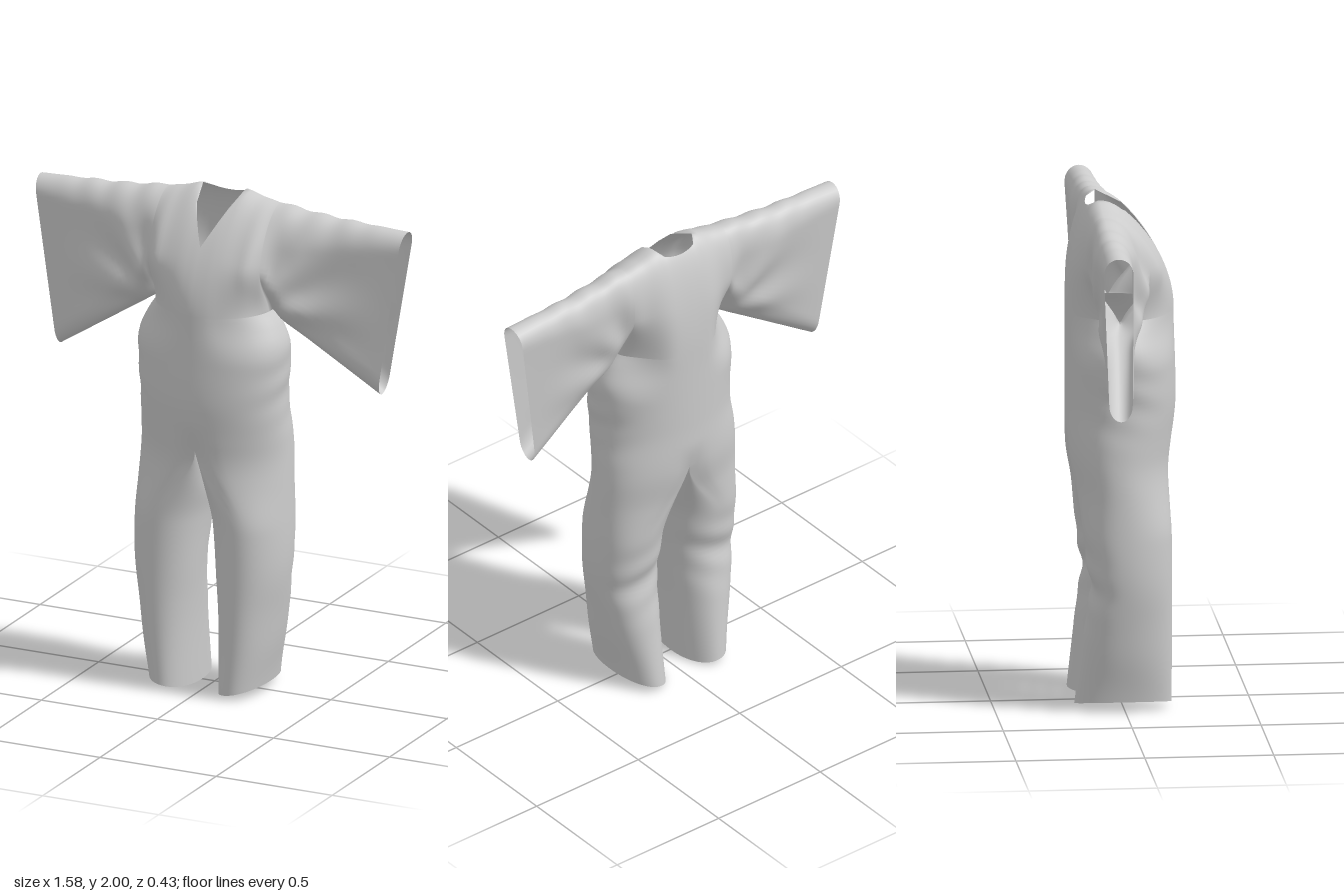
import * as THREE from 'three';
import { mergeGeometries, mergeVertices } from 'three/addons/utils/BufferGeometryUtils.js';

const { lerp, smoothstep } = THREE.MathUtils;
const spow = (v, p) => Math.sign(v) * Math.pow(Math.abs(v), p);

// Smooth curve through [t, value] points with rising t
function curve(pts) {
  const slope = (i) => {
    const a = pts[Math.max(i - 1, 0)], b = pts[Math.min(i + 1, pts.length - 1)];
    return (b[1] - a[1]) / (b[0] - a[0]);
  };
  return (t) => {
    let i = 0;
    while (i < pts.length - 2 && t > pts[i + 1][0]) i++;
    const [t0, v0] = pts[i], [t1, v1] = pts[i + 1], w = t1 - t0;
    const s = Math.min(1, Math.max(0, (t - t0) / w)), s2 = s * s, s3 = s2 * s;
    return v0 * (2 * s3 - 3 * s2 + 1) + slope(i) * w * (s3 - 2 * s2 + s)
      + v1 * (3 * s2 - 2 * s3) + slope(i + 1) * w * (s3 - s2);
  };
}

// Grid of quads from point(row, col); mirrored across x when side is -1
function sheet(rows, cols, point, side) {
  const pos = [], idx = [];
  for (let i = 0; i <= rows; i++) for (let j = 0; j <= cols; j++) {
    const [x, y, z] = point(i, j);
    pos.push(x * side, y, z);
  }
  for (let i = 0; i < rows; i++) for (let j = 0; j < cols; j++) {
    const a = i * (cols + 1) + j, b = a + cols + 1, c = b + 1, d = a + 1;
    if (side > 0) idx.push(a, b, c, a, c, d);
    else idx.push(a, c, b, a, d, c);
  }
  const g = new THREE.BufferGeometry();
  g.setAttribute('position', new THREE.Float32BufferAttribute(pos, 3));
  g.setIndex(idx);
  return g;
}

const Q = 16;               // columns from centre to armpit
const SLEEVE = 36;          // columns along a sleeve
const ARM = 0.24, PIT = 1.55, CUFF = 0.79;
const NECK = ARM * Math.sin(Math.PI / 8);
const CROTCH = 1.0, THIGH = 0.68;

// Upper garment: shoulder height, front and back depth by distance from centre
const shoulderY = curve([[0, 2], [0.1, 1.998], [0.17, 1.978], [0.3, 1.96], [0.45, 1.945], [0.79, 1.93]]);
const frontD = curve([[0, 0.3], [0.1, 0.285], [0.18, 0.235], [0.25, 0.165], [0.35, 0.11], [0.5, 0.08], [0.79, 0.058]]);
const backD = curve([[0, 0.12], [0.12, 0.125], [0.2, 0.11], [0.3, 0.085], [0.5, 0.07], [0.79, 0.06]]);
const ridgeZ = curve([[0, -0.09], [0.1, -0.085], [0.3, -0.083], [0.79, -0.08]]);
const roundEnd = (h, r) => (h >= r ? 1 : Math.sqrt(Math.max(0, 1 - (1 - h / r) ** 2)));

// Point on the upper garment; h runs 0 at the shoulder ridge to 1 at the lower edge
function upper(x, t, front) {
  let h = (1 - Math.cos(Math.PI * t)) / 2;
  if (x < NECK - 1e-6) {
    const n = x / NECK;
    const cut = front ? 0.42 * Math.pow(1 - n, 0.95) : 0.07 * Math.sqrt(1 - n * n);
    h = cut + (1 - cut) * h;
  }
  const out = Math.max(0, (x - ARM) / (CUFF - ARM));
  const bump = 0.004 * Math.sin(x * 48) * smoothstep(x, 0.15, 0.3) * (1 - smoothstep(x, 0.5, 0.75));
  const top = shoulderY(x) + bump;
  const low = PIT - 0.29 * out;
  const lowX = x <= ARM ? x : lerp(ARM, 0.69, out);
  const px = lerp(x, lowX, h), py = lerp(top, low, h);

  // Sloping chest and rounded back melt into the flat sleeve
  const body = front ? Math.sqrt(h) * (1 + 0.5 * h * (1 - h)) : roundEnd(h, 1);
  const flat = roundEnd(h, lerp(0.45, 0.1, Math.sqrt(out)));
  const g = lerp(body, flat, smoothstep(x, 0.1, 0.4));

  // The panels ease together under the arm and close along the sleeve
  const open = x < ARM ? Math.pow(Math.max(0, 1 - (x / ARM) ** 2), 0.38) : 0;
  const r1 = lerp(0.5, 0.1, Math.sqrt(out));
  const ease = lerp(smoothstep(1 - h, 0, r1), roundEnd(1 - h, r1), smoothstep(x, 0.2, 0.34));
  const close = open + (1 - open) * ease;

  // Folds fanning out from the armpit
  const dx = px - ARM + 0.03, dy = py - PIT, r = Math.hypot(dx, dy);
  const fan = Math.sin(Math.atan2(dy, dx) * 8 + (front ? 0.4 : 1.6));
  const fold = 1 + 0.12 * fan * smoothstep(r, 0.08, 0.22) * (1 - smoothstep(r, 0.25, 0.52)) * smoothstep(px, 0.14, 0.3);
  const depth = (front ? frontD(x) : -backD(x)) * g * close * fold * (1 - 0.25 * h * out);
  const lean = h * lerp(0.06, 0.02, out) * smoothstep(x, 0.08, ARM);
  return [px, py, ridgeZ(x) + lean + depth];
}

const columnX = (i) => (i <= Q ? ARM * Math.sin(i / Q * Math.PI / 2) : ARM + (CUFF - ARM) * (i - Q) / SLEEVE);

// Hips and legs: outer and inner edges, front and back by height
const outerX = curve([[0, 0.243], [0.3, 0.29], [0.55, 0.32], [0.85, 0.316], [1.05, 0.308], [1.18, 0.3], [1.3, 0.306], [1.42, 0.308], [1.5, 0.275], [1.55, 0.24]]);
const innerX = curve([[0, 0.055], [0.3, 0.052], [0.6, 0.032], [0.82, 0.007], [0.9, 0], [1, 0]]);
const frontZ = curve([[0, 0.187], [0.9, 0.187], [1.05, 0.2], [1.2, 0.215], [1.4, 0.212], [1.55, 0.21]]);
const backZ = curve([[0, -0.19], [0.35, -0.15], [0.47, -0.13], [0.6, -0.145], [0.85, -0.18], [1, -0.208], [1.2, -0.21], [1.55, -0.21]]);

// Point on a half-hip or leg ring; a runs front, outside, back, then inside
function lower(y, a) {
  const s = Math.sin(a), c = Math.cos(a);
  const zf = frontZ(y), zb = backZ(y), zc = (zf + zb) / 2, zd = (zf - zb) / 2;
  const xo = outerX(y), xi = innerX(y), m = 1 - smoothstep(y, THIGH, CROTCH);
  const inside = a > Math.PI + 1e-6;
  const xHip = inside ? 0 : xo * Math.pow(Math.max(0, s), 0.97);
  const xLeg = (xo + xi) / 2 + (xo - xi) / 2 * spow(s, 0.95);
  const groove = 1 - 0.12 * Math.exp(-((xHip / 0.05) ** 2)) * (1 - smoothstep(y, CROTCH - 0.06, 1.12));
  let x = lerp(xHip, xLeg, m), z = zc + zd * spow(c, 0.95) * lerp(groove, 1, m);

  // Side seam set slightly to the back along the thigh
  if (s > 0) z -= 0.025 * s * s * smoothstep(y, 0.05, 0.4) * (1 - smoothstep(y, 0.95, 1.25));

  // Creases behind the knee and at the hip sides
  if (c < 0) z += 0.007 * c * Math.sin(y * 42 + x * 14) * Math.exp(-(((y - 0.5) / 0.13) ** 2));
  if (s > 0) x += 0.003 * s ** 4 * Math.sin(y * 50 + c * 4) * Math.exp(-(((y - 1.25) / 0.14) ** 2));

  // Sagging crotch seam and slanted hem
  let py = y + (0.02 + 0.02 * s) * (1 - smoothstep(y, 0, 0.25));
  if (inside) py -= 0.1 * s * s * (1 - m);

  // Meet the upper garment at the armpit line, flaring only towards the sides
  const w = smoothstep(y, 1.36, PIT);
  if (w > 0 && !inside) {
    const k = Math.round(a / Math.PI * 2 * Q), front = k <= Q;
    const u = upper(columnX(front ? k : 2 * Q - k), 1, front);
    x = lerp(x, u[0] * (1 + (xo / ARM - 1) * (u[0] / ARM) ** 3), w);
    z = lerp(z, u[2], w);
  }
  return [x, py, z];
}

export function createModel() {
  const parts = [];
  const add = (name, ...geos) => parts.push({ name, geos });
  const H = 32;
  for (const side of [1, -1]) {
    const label = side > 0 ? 'left' : 'right';
    const panels = (from, count) => [true, false].map((front) => sheet(count, H,
      (i, j) => upper(columnX(from + i), front ? 1 - j / H : j / H, front), side));
    add(label + 'Bodice', ...panels(0, Q));
    add(label + 'Sleeve', ...panels(Q, SLEEVE));
    add(label + 'Hip', sheet(30, 2 * Q,
      (i, k) => lower(lerp(PIT, CROTCH, i / 30), k / (2 * Q) * Math.PI), side));
    add(label + 'TrouserLeg', sheet(48, 4 * Q,
      (i, k) => lower(CROTCH * (1 - i / 48), k / (2 * Q) * Math.PI), side));
  }

  // Weld everything so shading runs across the seams, then share it by part
  const whole = mergeVertices(mergeGeometries(parts.flatMap((p) => p.geos)), 1e-4);
  whole.computeVertexNormals();
  const material = new THREE.MeshStandardMaterial({ color: 0xcccccc, side: THREE.DoubleSide });
  const group = new THREE.Group();
  group.name = 'jumpsuit';
  let start = 0;
  for (const { name, geos } of parts) {
    const count = geos.reduce((n, g) => n + g.index.count, 0);
    const g = new THREE.BufferGeometry();
    g.setAttribute('position', whole.attributes.position);
    g.setAttribute('normal', whole.attributes.normal);
    g.setIndex(Array.from(whole.index.array.slice(start, start + count)));
    start += count;
    const mesh = new THREE.Mesh(g, material);
    mesh.name = name;
    group.add(mesh);
  }
  return group;
}
